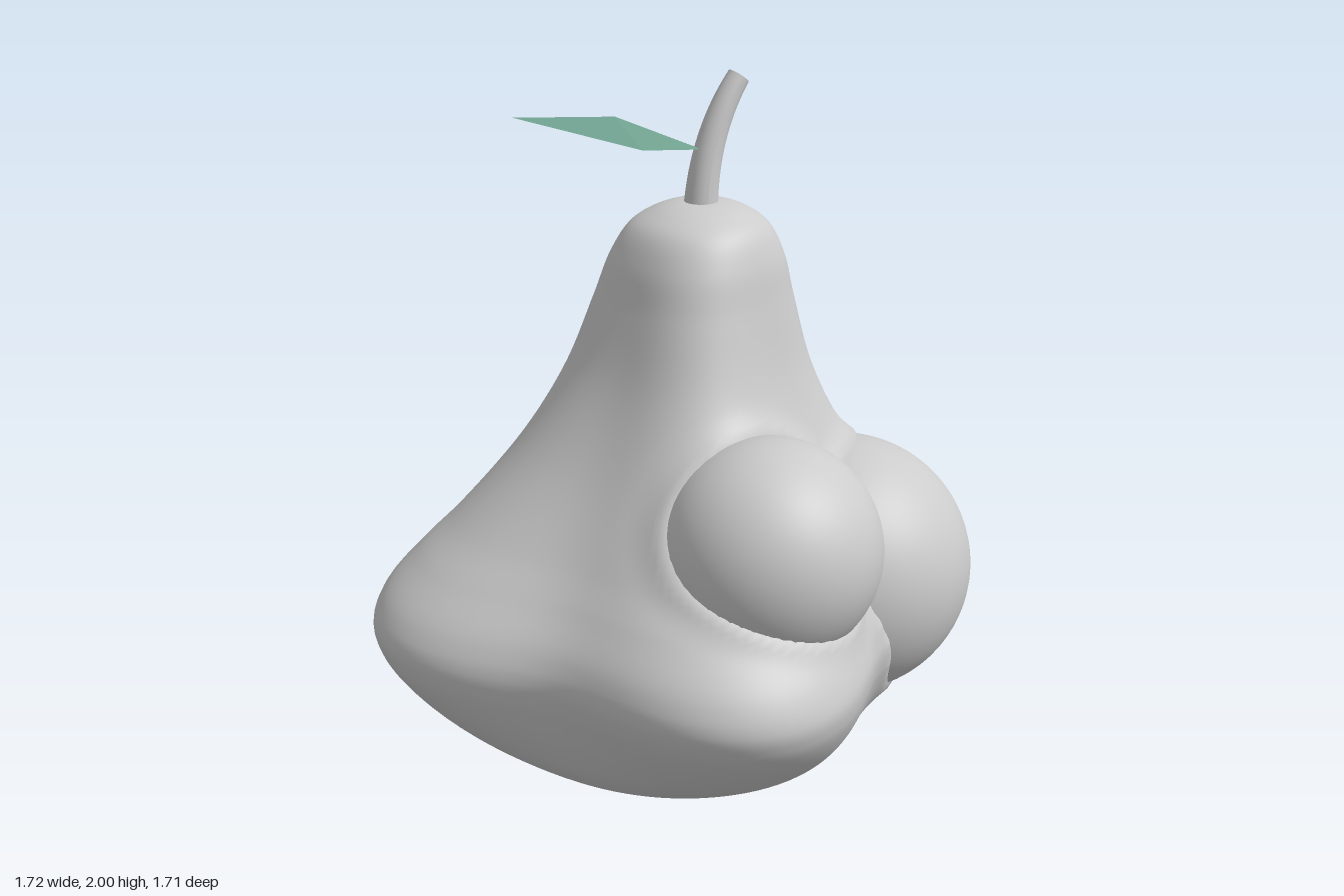
import * as THREE from 'three';
import { ConvexGeometry } from 'three/addons/geometries/ConvexGeometry.js';

const V = (x, y, z) => new THREE.Vector3(x, y, z);
const grey = new THREE.MeshStandardMaterial({ color: 0xcccccc });
const green = new THREE.MeshStandardMaterial({ color: 0x6f9f8e, flatShading: true });

// Round bulges on the front left of the body
const bulges = [
  { name: 'upperBulge', radius: 0.302, center: V(0.083, 0.836, 0.467) },
  { name: 'lowerBulge', radius: 0.372, center: V(0.45, 0.607, 0.185) },
];

function part(name, geometry, material = grey) {
  const mesh = new THREE.Mesh(geometry, material);
  mesh.name = name;
  return mesh;
}

// Swells the body a little around each bulge, so that they flow together.
function addFillets(geometry, width) {
  const pos = geometry.attributes.position, normal = geometry.attributes.normal;
  const p = V(0, 0, 0), n = V(0, 0, 0);
  for (let i = 0; i < pos.count; i++) {
    p.fromBufferAttribute(pos, i);
    n.fromBufferAttribute(normal, i);
    const gap = Math.min(...bulges.map((b) => Math.abs(p.distanceTo(b.center) - b.radius)));
    p.addScaledVector(n, Math.max(0, width - gap) ** 2 / (4 * width));
    pos.setXYZ(i, p.x, p.y, p.z);
  }
  geometry.computeVertexNormals();
}

// Pear body: stacked rings with four soft, slightly twisted lobes and a neck leaning towards +x.
function bodyGeometry() {
  // height, radius at the lobes, strength of the lobes
  const profile = new THREE.CatmullRomCurve3([
    [0, 0, 0], [0.008, 0.15, 0], [0.04, 0.3, 0], [0.1, 0.45, 0.01], [0.2, 0.61, 0.045],
    [0.3, 0.728, 0.085], [0.4, 0.814, 0.112], [0.46, 0.848, 0.12], [0.52, 0.86, 0.123], [0.6, 0.83, 0.122],
    [0.7, 0.737, 0.115], [0.8, 0.63, 0.1], [1.0, 0.46, 0.075], [1.2, 0.345, 0.06], [1.4, 0.275, 0.045],
    [1.52, 0.237, 0.03], [1.6, 0.19, 0.015], [1.638, 0.132, 0], [1.657, 0.076, 0], [1.665, 0, 0],
  ].map((p) => V(...p)));
  const rows = 160, sides = 160, pos = [], index = [];
  for (let i = 0; i <= rows; i++) {
    const p = profile.getPoint(i / rows);
    const lean = Math.max(0, p.x - 0.55) / 1.115;
    const twist = 0.1 + 0.3 * (p.x - 0.5);
    for (let j = 0; j < sides; j++) {
      const a = (j / sides) * Math.PI * 2;
      const r = p.y * (1 + p.z * Math.cos(4 * (a - twist))) / (1 + p.z);
      pos.push(r * Math.cos(a) + 0.095 * lean, p.x, r * Math.sin(a) - 0.018 * lean);
      if (i < rows) {
        const k = (j + 1) % sides, b = i * sides;
        index.push(b + j, b + sides + j, b + k, b + k, b + sides + j, b + sides + k);
      }
    }
  }
  const g = new THREE.BufferGeometry();
  g.setAttribute('position', new THREE.Float32BufferAttribute(pos, 3));
  g.setIndex(index);
  g.computeVertexNormals();
  addFillets(g, 0.08);
  return g;
}

// Curved stem, narrowing towards a flat tip.
function buildStem() {
  const stem = new THREE.Group();
  stem.name = 'stem';
  const path = new THREE.QuadraticBezierCurve3(
    V(0.094, 1.64, -0.018), V(0.108, 1.84, -0.03), V(0.215, 1.984, -0.046));
  const rings = 20, sides = 24, radius = 0.047, tip = 0.031;
  const g = new THREE.TubeGeometry(path, rings, radius, sides);
  const v = V(0, 0, 0), pos = g.attributes.position;
  for (let i = 0; i < pos.count; i++) {
    const t = Math.floor(i / (sides + 1)) / rings;
    const c = path.getPointAt(t);
    v.fromBufferAttribute(pos, i).sub(c).multiplyScalar(1 + t * (tip / radius - 1)).add(c);
    pos.setXYZ(i, v.x, v.y, v.z);
  }
  g.computeVertexNormals();
  const cap = part('stemTip', new THREE.CircleGeometry(tip, sides));
  cap.position.copy(path.getPointAt(1));
  cap.quaternion.setFromUnitVectors(V(0, 0, 1), path.getTangentAt(1));
  stem.add(part('stemShaft', g), cap);
  return stem;
}

export function createModel() {
  const model = new THREE.Group();
  model.name = 'pear';
  model.add(part('body', bodyGeometry()));

  for (const { name, radius, center } of bulges) {
    const bulge = part(name, new THREE.SphereGeometry(radius, 64, 40));
    bulge.position.copy(center);
    model.add(bulge);
  }

  model.add(buildStem());

  // Thin faceted leaf: two tips, two side corners, a ridge above and below
  model.add(part('leaf', new ConvexGeometry([
    V(0.1, 1.8, -0.022), V(-0.43, 1.931, -0.022),
    V(-0.15, 1.862, 0.17), V(-0.15, 1.862, -0.212),
    V(-0.15, 1.91, -0.022), V(-0.15, 1.842, -0.022),
  ]), green));
  return model;
}
